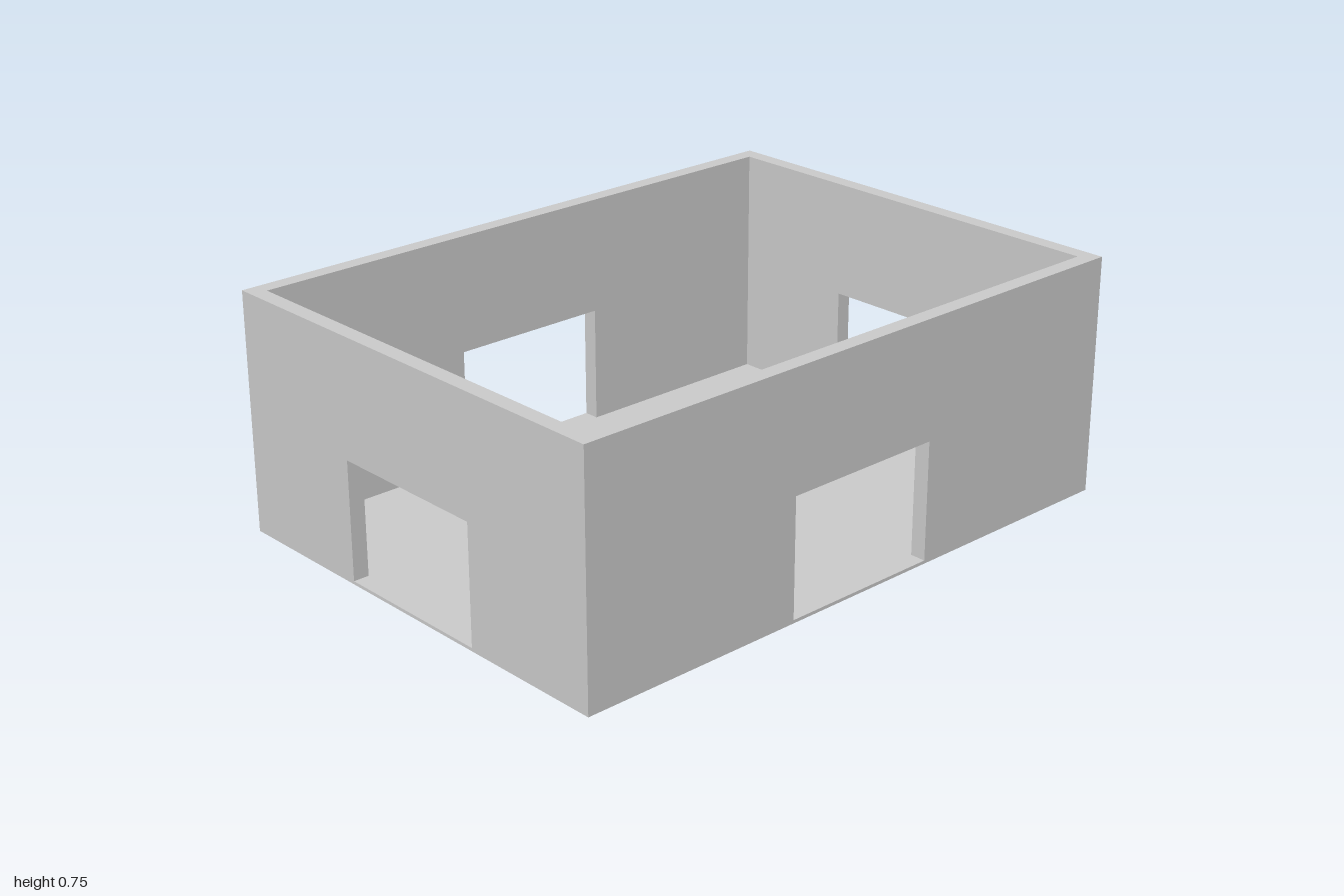
import * as THREE from 'three';

const HALF_X = 1, HALF_Z = 0.735, HEIGHT = 0.75;
const WALL = 0.05, FLOOR = 0.01;
const DOOR_HALF = 0.265, DOOR_TOP = 0.38;

const material = new THREE.MeshStandardMaterial({ color: 0xcccccc, flatShading: true });

// Wall with a central doorway, its outer face at z = distance, its ends mitred
function wallGeometry(half, distance) {
  const outline = new THREE.Shape([
    [-half, FLOOR], [-DOOR_HALF, FLOOR], [-DOOR_HALF, DOOR_TOP], [DOOR_HALF, DOOR_TOP],
    [DOOR_HALF, FLOOR], [half, FLOOR], [half, HEIGHT], [-half, HEIGHT],
  ].map(([x, y]) => new THREE.Vector2(x, y)));
  const geometry = new THREE.ExtrudeGeometry(outline, { depth: WALL, bevelEnabled: false });

  // Pull the inner corners in by the wall thickness
  const pos = geometry.attributes.position;
  for (let i = 0; i < pos.count; i++) {
    const x = pos.getX(i);
    if (pos.getZ(i) < WALL / 2 && Math.abs(x) > half - 0.001) {
      pos.setX(i, x - Math.sign(x) * WALL);
    }
  }
  geometry.translate(0, 0, distance - WALL);
  geometry.computeVertexNormals();
  return geometry;
}

export function createModel() {
  const model = new THREE.Group();
  model.name = 'roofless room';

  // Thin floor slab under the whole footprint
  const floor = new THREE.Mesh(new THREE.BoxGeometry(2 * HALF_X, FLOOR, 2 * HALF_Z), material);
  floor.position.y = FLOOR / 2;
  floor.name = 'floor';
  model.add(floor);

  // Four walls, turned a quarter each
  const longWall = wallGeometry(HALF_X, HALF_Z);
  const shortWall = wallGeometry(HALF_Z, HALF_X);
  ['frontWall', 'leftWall', 'backWall', 'rightWall'].forEach((name, i) => {
    const wall = new THREE.Mesh(i % 2 ? shortWall : longWall, material);
    wall.rotation.y = i * Math.PI / 2;
    wall.name = name;
    model.add(wall);
  });

  return model;
}
